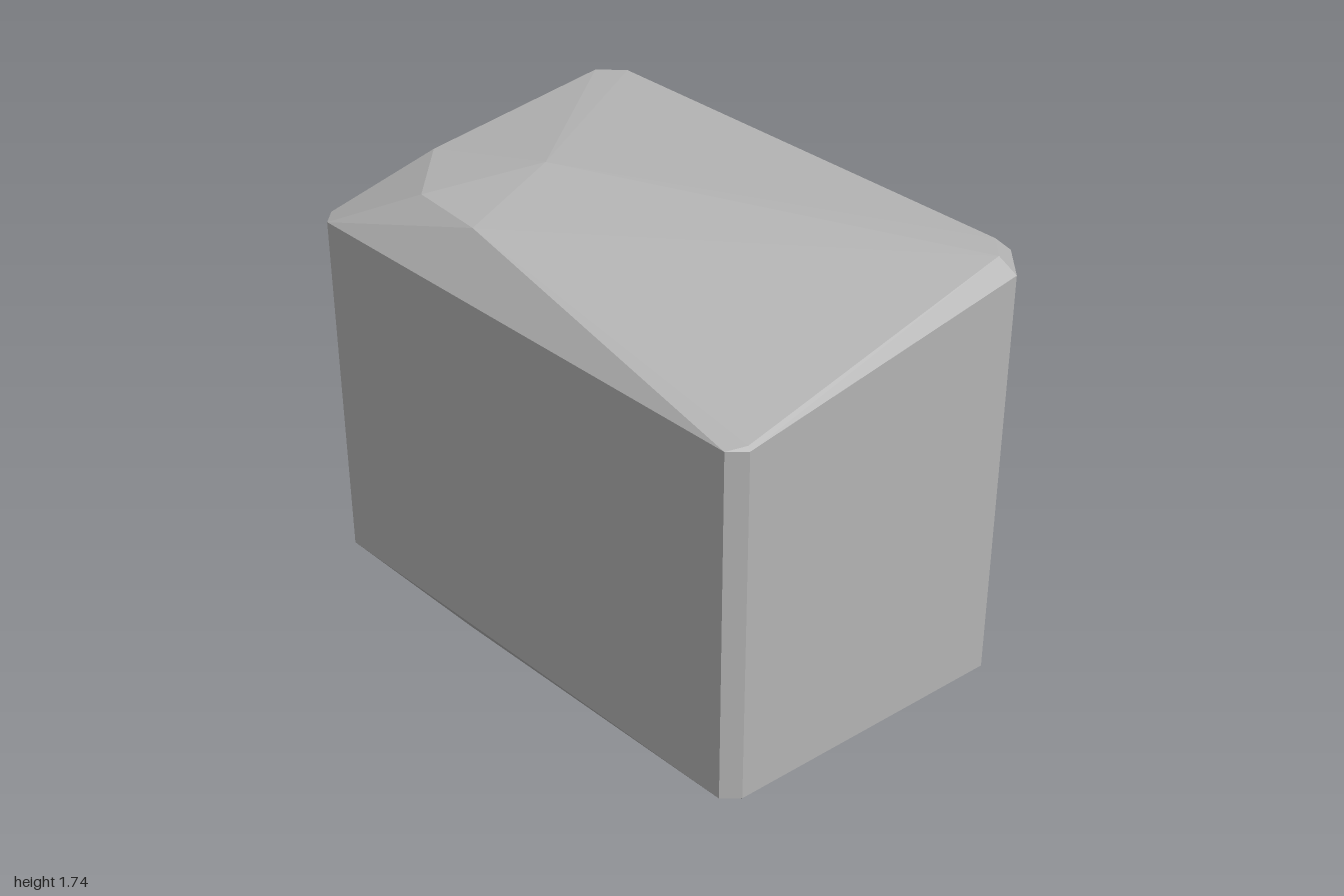
import * as THREE from 'three';
import { ConvexGeometry } from 'three/addons/geometries/ConvexGeometry.js';

export function createModel() {
  const group = new THREE.Group();
  group.name = 'boulder';

  const stone = new THREE.MeshStandardMaterial({ color: 0xb4b4b4, flatShading: true });
  stone.name = 'stone grey';

  const points = [];
  const add = (x, y, z) => points.push(new THREE.Vector3(x, y, z));

  // walls and bevels, mirrored front to back
  for (const s of [1, -1]) {
    // narrow corner on the -x side
    for (const y of [0.185, 1.515]) {
      add(-0.675, y, 0.95 * s);
      add(-0.62, y, s);
    }
    // wide corner on the +x side
    for (const y of [0.067, 1.633]) {
      add(0.56, y, s);
      add(0.675, y, 0.88 * s);
    }
    // inset rims above and below the wide corner
    for (const y of [0.01, 1.69]) {
      add(0.535, y, 0.943 * s);
      add(0.615, y, 0.86 * s);
    }
  }

  // front lip of the sloping top and bottom
  add(-0.615, 1.527, 0.987);
  add(-0.615, 0.173, 0.987);

  // crown: peak and worn shoulder at the back
  add(-0.13, 1.735, -0.45);
  add(-0.27, 1.678, -0.87);
  add(-0.515, 1.685, -0.63);
  add(-0.545, 1.69, -0.33);

  // underside: worn edge at the back
  add(-0.17, 0.004, -0.89);
  add(-0.43, 0, -0.735);
  add(-0.54, 0, -0.46);

  const rock = new THREE.Mesh(new ConvexGeometry(points), stone);
  rock.name = 'rock';
  group.add(rock);
  return group;
}
